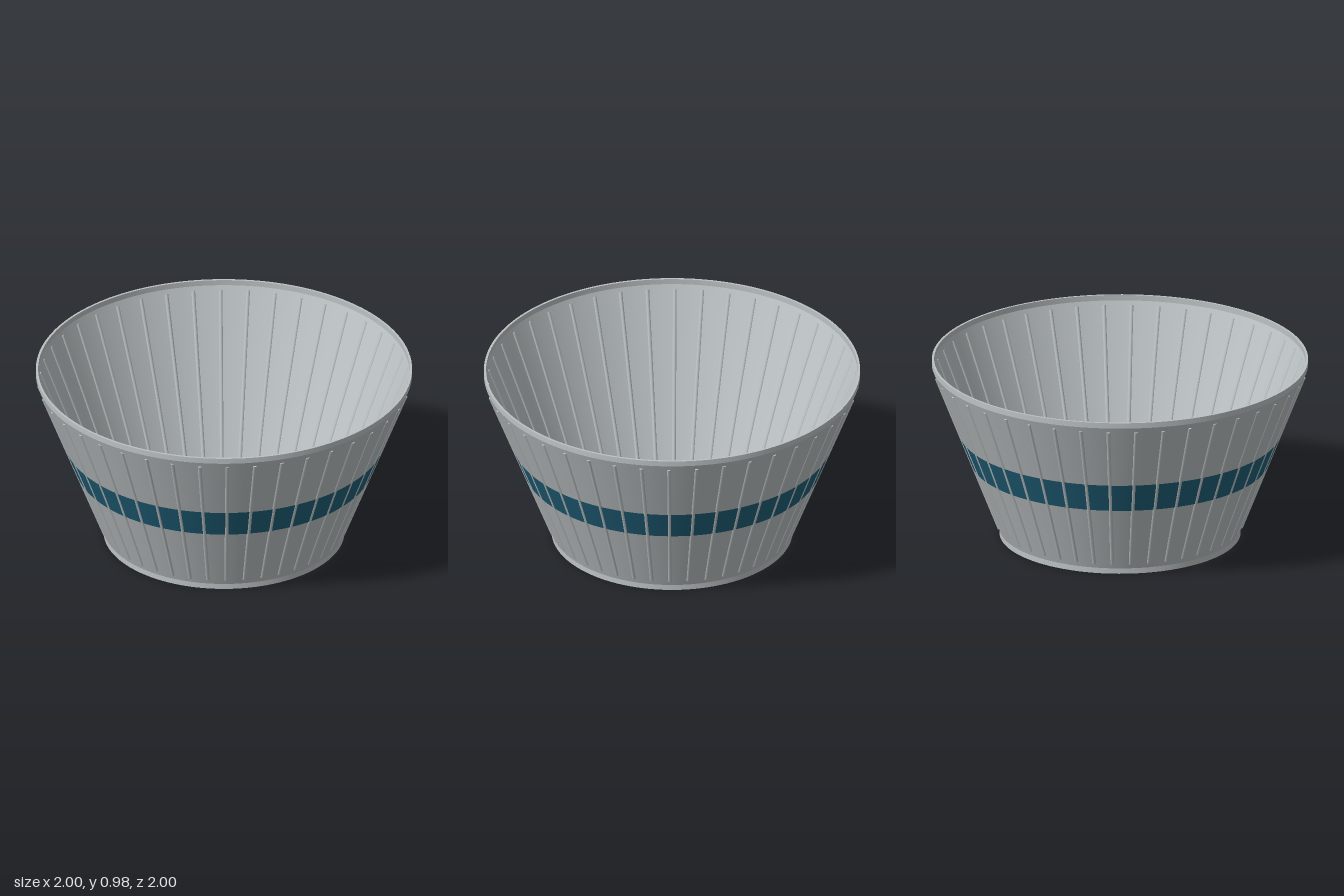
import * as THREE from 'three';
import { mergeGeometries } from 'three/addons/utils/BufferGeometryUtils.js';

const RIBS = 42, SEGMENTS = 126;
const WALL = 0.012;
const LIP_LOW = 0.03, LIP_HIGH = 0.95, HEIGHT = 0.98;
const R_LOW = 0.64, R_HIGH = 0.998;

// Outer radius of the sloped wall at height y
const radiusAt = (y) =>
  R_LOW + (R_HIGH - R_LOW) * (y - LIP_LOW) / (LIP_HIGH - LIP_LOW);

// Revolve each profile edge on its own so corners stay sharp
function revolve(points) {
  const parts = [];
  for (let i = 0; i < points.length - 1; i++) {
    const edge = [points[i], points[i + 1]].map(([r, y]) => new THREE.Vector2(r, y));
    parts.push(new THREE.LatheGeometry(edge, SEGMENTS));
  }
  return mergeGeometries(parts);
}

export function createModel() {
  const group = new THREE.Group();
  group.name = 'ribbedConeShell';

  const grey = new THREE.MeshStandardMaterial({ color: 0xbcc2c4 });
  grey.name = 'light grey';
  const blue = new THREE.MeshStandardMaterial({ color: 0x1f5f78, side: THREE.DoubleSide });
  blue.name = 'deep teal';

  // Thin flared wall with short upright lips, open at both ends
  const outer = [[R_LOW, 0], [R_LOW, LIP_LOW], [R_HIGH, LIP_HIGH], [R_HIGH, HEIGHT]];
  const inner = outer.map(([r, y]) => [r - WALL, y]).reverse();
  const shell = new THREE.Mesh(revolve([...outer, ...inner, outer[0]]), grey);
  shell.name = 'shell';
  group.add(shell);

  // Painted band around the outside
  const band = new THREE.Mesh(
    revolve([0.41, 0.575].map((y) => [radiusAt(y) + 0.003, y])), blue);
  band.name = 'band';
  group.add(band);

  // Slim ribs set into the wall, showing on both sides
  const ribs = new THREE.Group();
  ribs.name = 'ribs';
  const low = 0.06, high = 0.925;
  const rise = high - low, run = radiusAt(high) - radiusAt(low);
  const ribGeometry = new THREE.CylinderGeometry(0.012, 0.012, Math.hypot(rise, run), 10);
  ribGeometry.rotateX(Math.atan2(run, rise));
  ribGeometry.translate(0, (low + high) / 2, radiusAt((low + high) / 2) - WALL / 2);
  for (let i = 0; i < RIBS; i++) {
    const rib = new THREE.Mesh(ribGeometry, grey);
    rib.name = 'rib';
    rib.rotation.y = (i / RIBS) * Math.PI * 2;
    ribs.add(rib);
  }
  group.add(ribs);

  return group;
}
